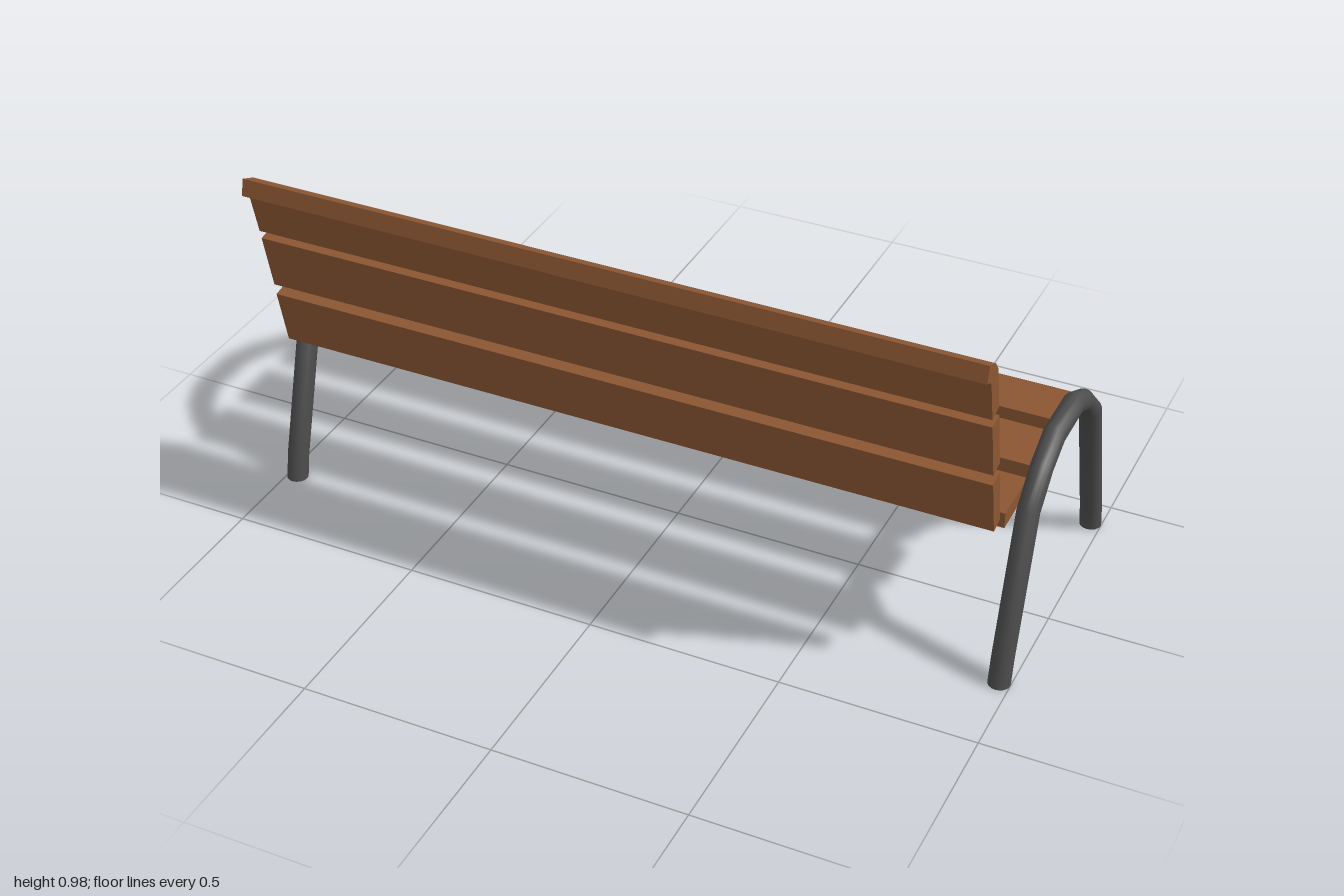
import * as THREE from 'three';
import { toCreasedNormals } from 'three/addons/utils/BufferGeometryUtils.js';

const SLAT_LENGTH = 1.876;
const TUBE_RADIUS = 0.028;
const LEG_X = 0.972;
const ARCH_Z = -0.0675; // middle of the leg arches

// Plank swept along x from a [z, y] outline
function slat(name, outline, material) {
  const shape = new THREE.Shape(outline.map(([z, y]) => new THREE.Vector2(-z, y)));
  const geometry = new THREE.ExtrudeGeometry(shape, { depth: SLAT_LENGTH, bevelEnabled: false });
  geometry.translate(0, 0, -SLAT_LENGTH / 2).rotateY(Math.PI / 2);
  const mesh = new THREE.Mesh(geometry, material);
  mesh.name = name;
  return mesh;
}

// Capped tube with mitred bends: a cylinder whose rings follow [z, y] points
function mitredTube(points, radius, sides) {
  const path = points.map(([z, y]) => new THREE.Vector2(z, y));
  const last = path.length - 1;
  const offsets = path.map((p, i) => {
    const before = p.clone().sub(path[Math.max(i - 1, 0)]).normalize();
    const after = path[Math.min(i + 1, last)].clone().sub(p).normalize();
    // Ends are cut level with the ground
    if (i === 0) return new THREE.Vector2(-1, 0);
    if (i === last) return new THREE.Vector2(1, 0);
    const along = before.clone().add(after).normalize();
    return new THREE.Vector2(-along.y, along.x).divideScalar(along.dot(after));
  });
  // Keep every offset on the same side of the path
  offsets[0].set(-Math.sign(path[1].y - path[0].y), 0);
  offsets[last].set(-Math.sign(path[last].y - path[last - 1].y), 0);

  const geometry = new THREE.CylinderGeometry(radius, radius, last, sides, last);
  const pos = geometry.attributes.position;
  for (let i = 0; i < pos.count; i++) {
    const ring = Math.round(pos.getY(i) + last / 2);
    const across = pos.getZ(i);
    const p = path[ring];
    const o = offsets[ring];
    pos.setXYZ(i, pos.getX(i), p.y - o.y * across, p.x - o.x * across);
  }
  return toCreasedNormals(geometry, 0.9);
}

export function createModel() {
  const bench = new THREE.Group();
  bench.name = 'bench';
  const wood = new THREE.MeshStandardMaterial({ color: 0x8b5632 });
  const metal = new THREE.MeshStandardMaterial({ color: 0x4c4c4c });

  // Seat: two flat planks and a front plank with a rolled edge
  const seat = new THREE.Group();
  seat.name = 'seat';
  const low = 0.413, high = 0.454;
  [[0.23, 0.076], [0.026, -0.13]].forEach(([a, b], i) => {
    seat.add(slat(`seatSlat${i + 1}`, [[a, low], [b, low], [b, high], [a, high]], wood));
  });
  seat.add(slat('seatFrontSlat', [
    [-0.177, low], [-0.288, low], [-0.297, 0.408], [-0.318, 0.388],
    [-0.352, 0.409], [-0.326, 0.444], [-0.302, high], [-0.177, high],
  ], wood));
  bench.add(seat);

  // Backrest: two leaning planks and a top plank with a rolled edge
  const backrest = new THREE.Group();
  backrest.name = 'backrest';
  [
    [[0.309, 0.457], [0.270, 0.465], [0.301, 0.616], [0.343, 0.608]],
    [[0.348, 0.639], [0.306, 0.647], [0.340, 0.797], [0.382, 0.790]],
  ].forEach((outline, i) => backrest.add(slat(`backSlat${i + 1}`, outline, wood)));
  backrest.add(slat('backTopSlat', [
    [0.387, 0.813], [0.345, 0.823], [0.374, 0.940], [0.392, 0.964],
    [0.434, 0.982], [0.444, 0.940], [0.420, 0.930], [0.413, 0.919],
  ], wood));
  bench.add(backrest);

  // Leg arches: half the bends, mirrored front to back
  const half = [[0.279, 0], [0.267, 0.065], [0.163, 0.427], [0.084, 0.502], [0.005, 0.542]];
  const arch = [...half, ...half.map(([z, y]) => [2 * ARCH_Z - z, y]).reverse()];
  const legGeometry = mitredTube(arch, TUBE_RADIUS, 16);
  for (const [name, side] of [['leftLegArch', 1], ['rightLegArch', -1]]) {
    const leg = new THREE.Mesh(legGeometry, metal);
    leg.name = name;
    leg.position.x = side * LEG_X;
    bench.add(leg);
  }
  return bench;
}
